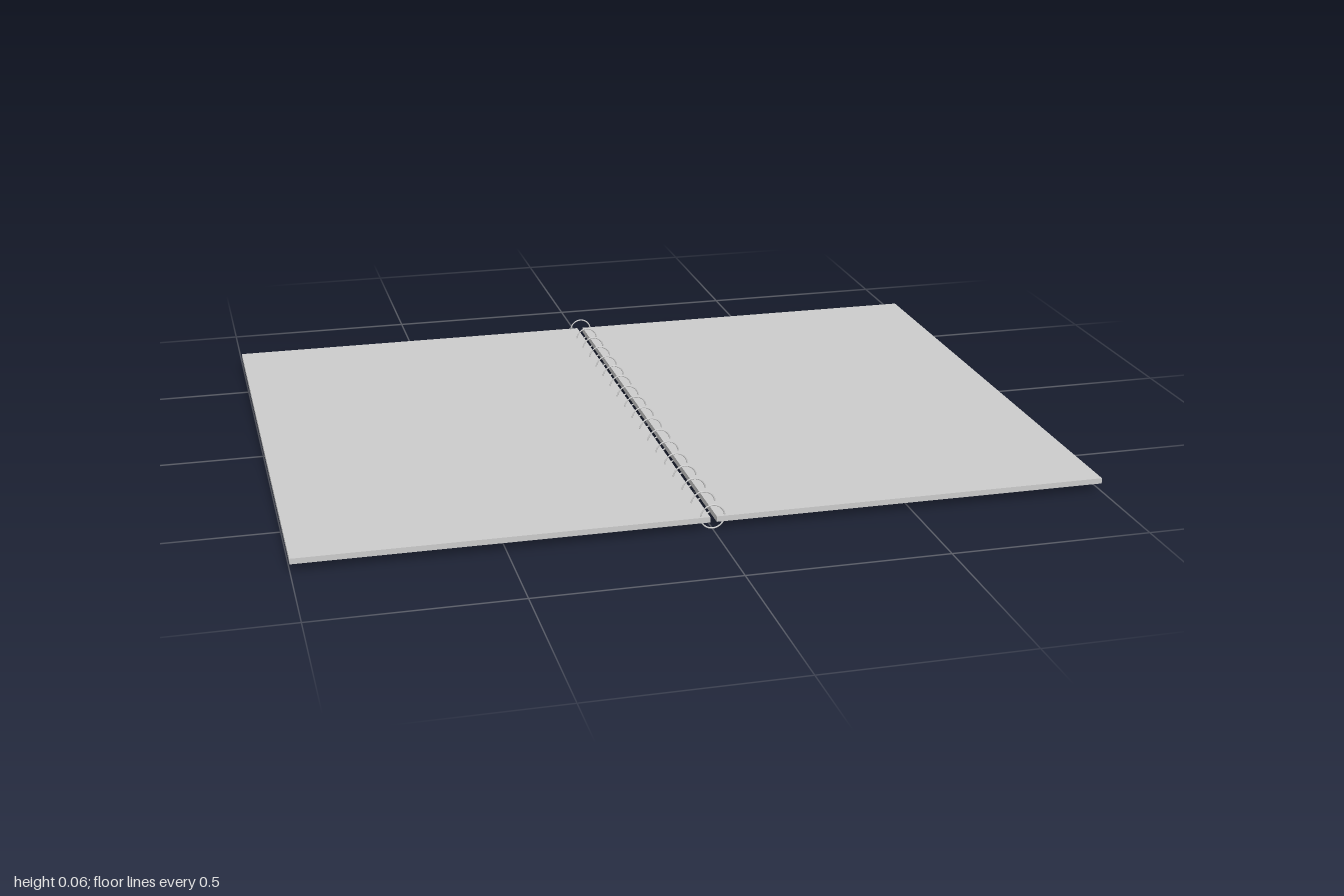
import * as THREE from 'three';

const HALF_DEPTH = 0.735, GAP = 0.008, RING_COUNT = 18, RING_SPAN = 1.455;
const RING_RADIUS = 0.0295, WIRE = 0.002;

export function createModel() {
  const model = new THREE.Group();
  model.name = 'openNotebook';
  const material = new THREE.MeshStandardMaterial({ color: 0xcccccc });

  const add = (geometry, name, x, y, z) => {
    const mesh = new THREE.Mesh(geometry, material);
    mesh.name = name;
    mesh.position.set(x, y, z);
    model.add(mesh);
  };

  // Two halves lying flat: a thin cover with a stack of pages on it
  const width = 1 - GAP;
  for (const [side, label] of [[1, 'left'], [-1, 'right']]) {
    const x = side * (GAP + width / 2);
    add(new THREE.BoxGeometry(width, 0.003, HALF_DEPTH * 2), label + 'Cover', x, 0.0215, 0);
    add(new THREE.BoxGeometry(width, 0.011, HALF_DEPTH * 2), label + 'Pages', x, 0.0285, 0);
  }

  // Wire rings along the spine
  const ring = new THREE.TorusGeometry(RING_RADIUS, WIRE, 8, 40);
  for (let i = 0; i < RING_COUNT; i++) {
    const z = (i / (RING_COUNT - 1) - 0.5) * RING_SPAN;
    add(ring, 'bindingRing' + (i + 1), 0, RING_RADIUS + WIRE, z);
  }
  return model;
}
